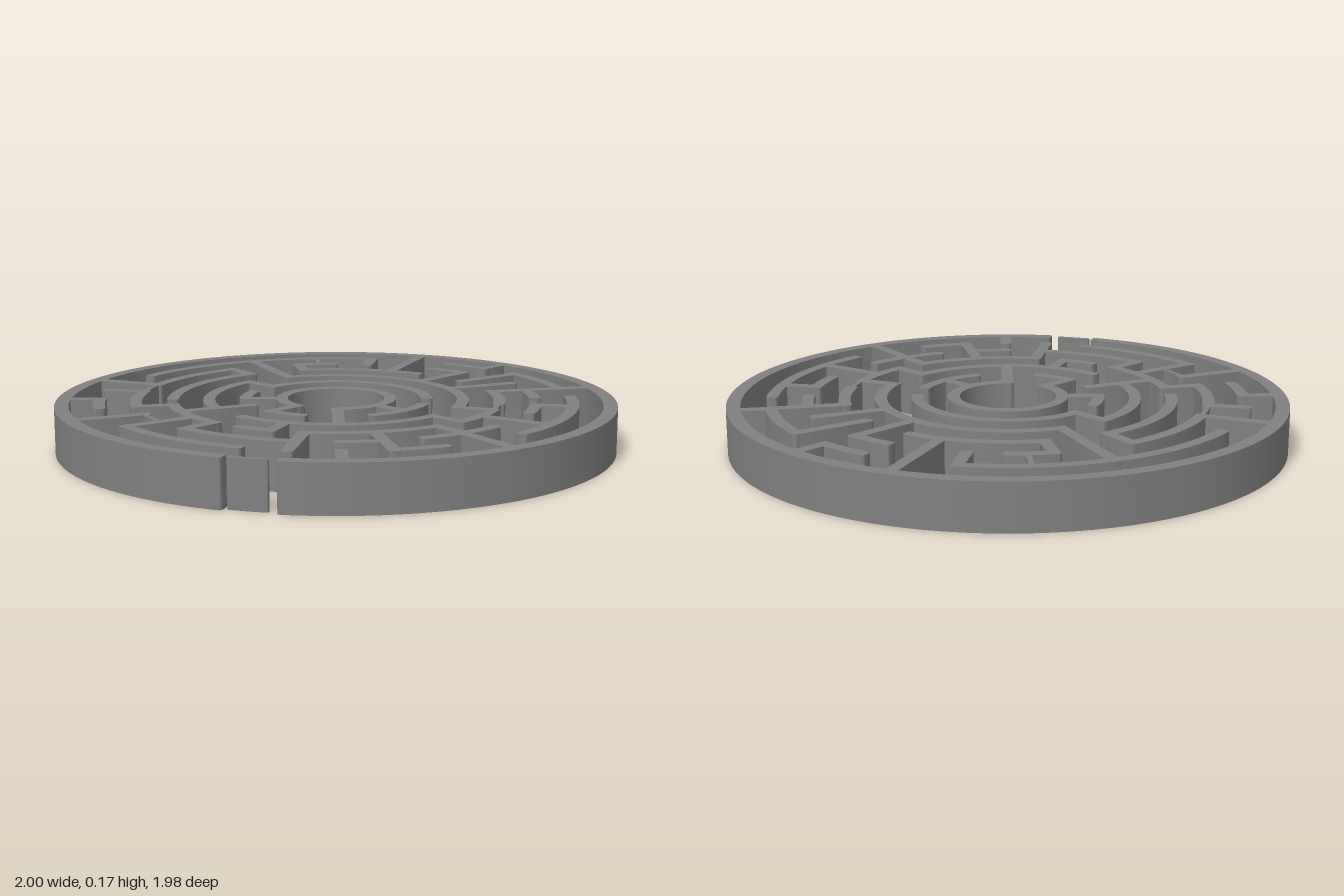
import * as THREE from 'three';
import { toCreasedNormals } from 'three/addons/utils/BufferGeometryUtils.js';

const HEIGHT = 0.165;
const STEP = Math.PI / 16;                        // angular grid, clockwise from +x seen from above
const WALL = 0.043, RIM = 0.05, GATE = 0.018;     // thicknesses
const DEPTH = 0.988;                              // the rings are slightly oval, shorter front to back
const ringRadius = (i) => 0.065 + 0.13 * i;       // ring 1 (centre) to ring 7 (rim)

// Curved walls: [ring, first step, last step]
const ARCS = [
  [1, 12, 40],
  [2, 2, 6], [2, 10, 12], [2, 16, 18], [2, 20, 32],
  [3, 4, 12], [3, 14, 20], [3, 22, 34],
  [4, 2, 4], [4, 5, 9], [4, 10, 11], [4, 12, 15], [4, 16, 21], [4, 23, 27], [4, 31, 33],
  [5, 1, 2], [5, 4, 6], [5, 7, 8], [5, 9, 12], [5, 15, 17], [5, 18, 21], [5, 23, 24], [5, 27, 28], [5, 31, 32],
  [6, 0, 4], [6, 6, 7], [6, 10, 13], [6, 15, 16], [6, 19, 25], [6, 27, 28], [6, 29, 31],
];

// Straight walls: [step, inner ring, outer ring]
const SPOKES = [
  [1, 5, 6], [2, 3, 4], [3, 4, 6], [4, 1, 2], [4, 3, 4], [5, 4, 7], [7, 4, 6], [8, 1, 3], [8, 6, 7],
  [9, 4, 6], [10, 3, 4], [12, 1, 2], [12, 4, 5], [13, 4, 6], [14, 2, 4], [14, 5, 7], [15, 4, 5],
  [16, 1, 2], [16, 6, 7], [17, 5, 6], [18, 5, 7], [20, 2, 3], [21, 4, 5], [22, 3, 6], [23, 4, 5],
  [25, 5, 6], [26, 4, 7], [28, 3, 5], [28, 6, 7], [29, 4, 6], [30, 3, 5], [31, 4, 7],
];

// Rounded strip from u0 to u1 (along) and +-w/2 (across), as [u, v] points
function strip(u0, u1, w, segments) {
  const h = w / 2, c = Math.min(0.01, h * 0.5), points = [];
  const corner = (u, v, start) => {
    for (let k = 0; k <= 3; k++) {
      const a = start + (k / 3) * Math.PI / 2;
      points.push([u + c * Math.cos(a), v + c * Math.sin(a)]);
    }
  };
  const edge = (from, to, v) => {
    for (let k = 1; k < segments; k++) points.push([from + (to - from) * k / segments, v]);
  };
  corner(u0 + c, -h + c, Math.PI);
  edge(u0 + c, u1 - c, -h);
  corner(u1 - c, -h + c, 1.5 * Math.PI);
  corner(u1 - c, h - c, 0);
  edge(u1 - c, u0 + c, h);
  corner(u0 + c, h - c, 0.5 * Math.PI);
  return points;
}

// Extrude an outline drawn in plan (x, z) up from the ground
function extrudePlan(points) {
  const shape = new THREE.Shape(points.map(([x, z]) => new THREE.Vector2(x, z * DEPTH)));
  const geometry = new THREE.ExtrudeGeometry(shape, { depth: HEIGHT, bevelEnabled: false });
  geometry.rotateX(Math.PI / 2).translate(0, HEIGHT, 0);
  return toCreasedNormals(geometry, 0.6);
}

function arcWall(ring, s0, s1, w = WALL, extend = w / 2) {
  const r = ringRadius(ring), a0 = s0 * STEP, a1 = s1 * STEP;
  const segments = Math.max(3, Math.ceil((a1 - a0) / 0.05));
  const outline = strip(a0 * r - extend, a1 * r + extend, w, segments);
  return extrudePlan(outline.map(([u, v]) => [(r + v) * Math.cos(u / r), (r + v) * Math.sin(u / r)]));
}

function spokeWall(step, from, to, w = WALL) {
  const c = Math.cos(step * STEP), s = Math.sin(step * STEP);
  // Spokes ending in the rim stop inside it
  const end = ringRadius(to) + (to === 7 ? 0 : w / 2);
  const outline = strip(ringRadius(from) - w / 2, end, w, 1);
  return extrudePlan(outline.map(([u, v]) => [u * c - v * s, u * s + v * c]));
}

export function createModel() {
  const model = new THREE.Group();
  model.name = 'circularMaze';
  const material = new THREE.MeshStandardMaterial({ color: 0x808080 });
  const add = (parent, name, geometry) => {
    const mesh = new THREE.Mesh(geometry, material);
    mesh.name = name;
    parent.add(mesh);
  };
  const section = (name) => {
    const group = new THREE.Group();
    group.name = name;
    model.add(group);
    return group;
  };

  // Outer rim with its entrance opening
  add(model, 'outerRim', arcWall(7, 10.04, 40.88, RIM));

  // Curved and straight maze walls
  const curved = section('curvedWalls');
  ARCS.forEach((a) => add(curved, `ring${a[0]}Wall`, arcWall(...a)));
  const straight = section('straightWalls');
  SPOKES.forEach((s) => add(straight, 'spokeWall', spokeWall(...s)));

  // Thin gates closing the entrance and some passages
  const gates = section('gates');
  add(gates, 'entranceGate', arcWall(7, 9.16, 9.85, GATE, 0));
  [[4, 1, 2], [5, 13, 14], [5, 17, 18]].forEach((g) => add(gates, 'passageGate', arcWall(...g, GATE)));
  add(gates, 'passageGate', spokeWall(23.6, 5, 6, GATE));

  return model;
}
